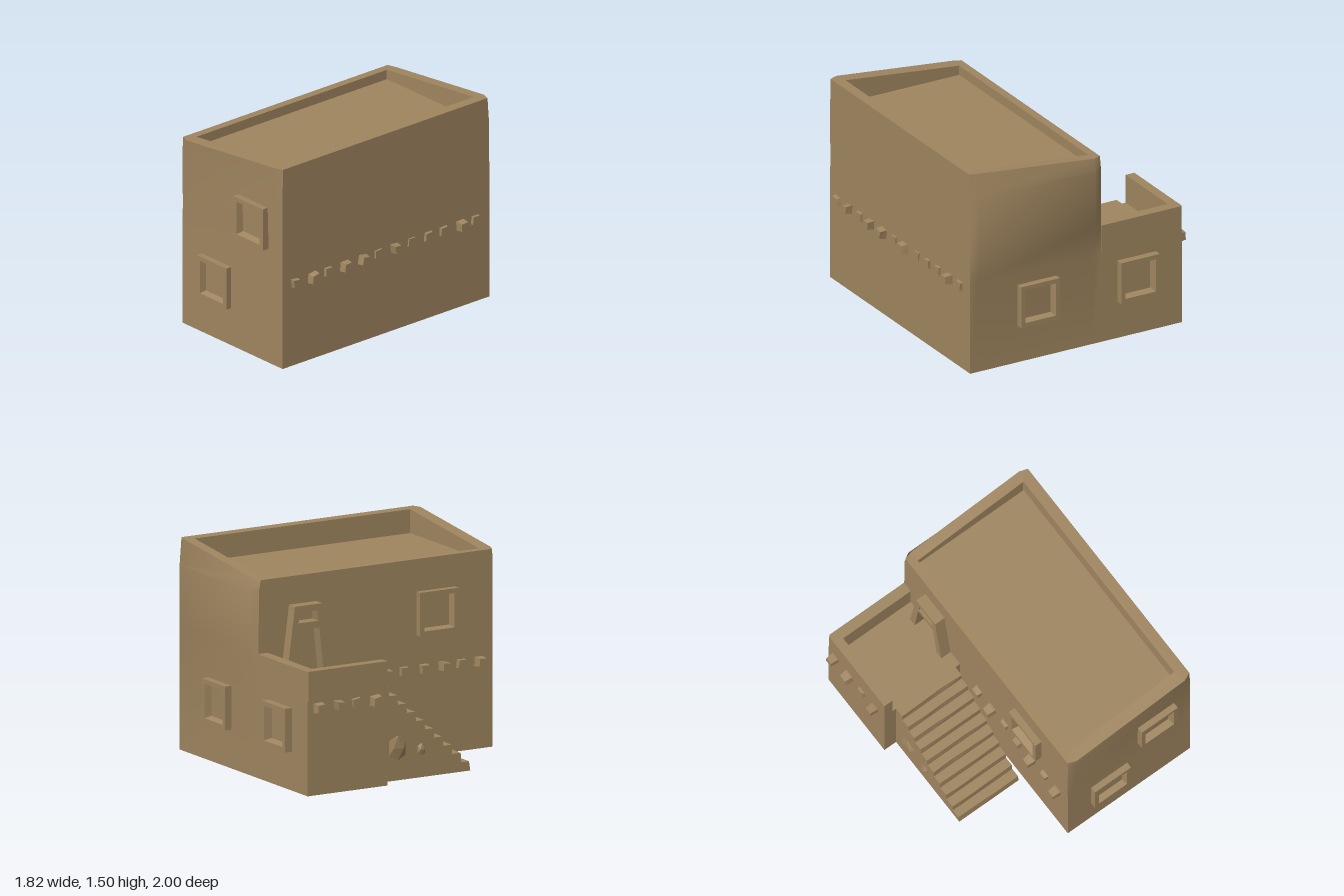
import * as THREE from 'three';
import { toCreasedNormals } from 'three/addons/utils/BufferGeometryUtils.js';

const adobe = new THREE.MeshStandardMaterial({ color: 0xa08660 });
adobe.name = 'adobe';

let seed = 7;
const rnd = () => (seed = (seed * 16807) % 2147483647) / 2147483647 - 0.5;

function add(parent, name, geometry, x = 0, y = 0, z = 0) {
  const mesh = new THREE.Mesh(geometry, adobe);
  mesh.name = name;
  mesh.position.set(x, y, z);
  parent.add(mesh);
  return mesh;
}

function faceted(geometry) {
  const g = geometry.index ? geometry.toNonIndexed() : geometry;
  g.computeVertexNormals();
  return g;
}

function extrude(points, depth, holes = []) {
  const shape = new THREE.Shape(points.map(p => new THREE.Vector2(...p)));
  for (const h of holes) shape.holes.push(new THREE.Path(h.map(p => new THREE.Vector2(...p))));
  return new THREE.ExtrudeGeometry(shape, { depth, bevelEnabled: false });
}

// Sloping parapet height across the tall block
const roofY = x => 1.4 + 0.1 * THREE.MathUtils.clamp((x + 0.14) / 0.92, 0, 1);

// Rectangle with cut corners, listed front left to right, then round the back
function ring(x0, x1, zf, zb, cx, cf, cb, height) {
  return [
    [x0 + cx, zf], [x1 - cx, zf], [x1, zf - cf], [x1, zb + cb],
    [x1 - cx, zb], [x0 + cx, zb], [x0, zb + cb], [x0, zf - cf],
  ].map(([x, z]) => [x, height(x), z]);
}

// Tall block: stacked rings, over the rim and down to the sunken roof
function towerGeometry() {
  const flat = y => () => y;
  const rings = [
    ring(-0.2, 0.85, 0.945, -0.945, 0.06, 0, 0, flat(0)),
    ring(-0.2, 0.85, 0.945, -0.945, 0.06, 0, 0, flat(0.67)),
    ring(-0.2, 0.85, 0.948, -0.978, 0.06, 0.004, 0.033, flat(0.9)),
    ring(-0.2, 0.85, 0.96, -0.978, 0.06, 0.015, 0.036, flat(1.32)),
    ring(-0.2, 0.85, 0.965, -0.948, 0.06, 0.025, 0.02, roofY),
    ring(-0.14, 0.77, 0.87, -0.87, 0.003, 0.003, 0.003, roofY),
    ring(-0.14, 0.77, 0.87, -0.87, 0.003, 0.003, 0.003, flat(1.33)),
  ];
  const n = 8, last = (rings.length - 1) * n;
  const verts = [...rings.flat(), [0.32, 0, 0], [0.32, 1.33, 0]];
  const index = [];
  for (let i = 0; i < n; i++) {
    const j = (i + 1) % n;
    for (let r = 0; r < last; r += n) index.push(r + i, r + j, r + n + j, r + i, r + n + j, r + n + i);
    index.push(j, i, last + n, last + i, last + j, last + n + 1);
  }
  const g = new THREE.BufferGeometry();
  g.setAttribute('position', new THREE.Float32BufferAttribute(verts.flat(), 3));
  g.setIndex(index);
  return toCreasedNormals(g, 0.6);
}

// Square window surround with a splayed opening, facing +z
function windowFrame(depth) {
  const k = Math.SQRT2;
  const profile = [[0.155, 0], [0.155, depth], [0.122, depth], [0.108, 0]]
    .map(([r, y]) => new THREE.Vector2(r * k, y));
  return faceted(new THREE.LatheGeometry(profile, 4, Math.PI / 4).rotateX(Math.PI / 2));
}

// Rough-hewn beam end pointing along +x
function beamEnd(length) {
  const g = new THREE.BoxGeometry(length + 0.04, 0.06, 0.06, 2, 1, 1);
  const p = g.attributes.position;
  const sy = rnd() * 0.012, sz = rnd() * 0.012;
  for (let i = 0; i < p.count; i++) {
    const f = p.getX(i) > 0.001 ? 0.92 : 1.08;
    p.setY(i, p.getY(i) * f + Math.sign(p.getZ(i)) * sy);
    p.setZ(i, p.getZ(i) * f + Math.sign(p.getY(i)) * sz);
  }
  g.translate((length - 0.04) / 2, 0, 0);
  return faceted(g);
}

export function createModel() {
  const model = new THREE.Group();
  model.name = 'adobeHouse';

  add(model, 'tallBlock', towerGeometry());

  // Low wing with a terrace walled on two sides
  add(model, 'lowWing', new THREE.BoxGeometry(0.65, 0.67, 0.645), -0.525, 0.335, -0.6225);
  const parapet = extrude([[-0.85, 0.3], [-0.78, 0.3], [-0.78, 0.87], [-0.2, 0.87], [-0.2, 0.948], [-0.84, 0.948], [-0.85, 0.938]], 0.21);
  add(model, 'terraceParapet', parapet.rotateX(-Math.PI / 2), 0, 0.67, 0);

  // Worn stairs up to the terrace
  const stairs = new THREE.Group();
  stairs.name = 'stairs';
  model.add(stairs);
  for (let i = 0; i < 10; i++) {
    const front = 0.43 - i * 0.073, h = 0.067;
    const g = new THREE.BoxGeometry(0.51, h, front + 0.3, 3, 1, 1);
    const p = g.attributes.position;
    const wear = [rnd(), rnd(), rnd(), rnd()].map(v => Math.abs(v) * 0.022);
    for (let v = 0; v < p.count; v++) {
      if (p.getZ(v) > 0 && p.getY(v) > 0) {
        const col = Math.round((p.getX(v) + 0.255) / 0.17);
        p.setZ(v, p.getZ(v) - wear[col]);
      }
    }
    add(stairs, 'step', faceted(g), -0.495, (i + 0.5) * h, (front - 0.3) / 2);
  }
  for (const [y, z, sy, sz] of [[0.23, -0.16, 0.1, 0.08], [0.2, 0.035, 0.05, 0.035]]) {
    add(stairs, 'stairSideBump', faceted(new THREE.IcosahedronGeometry(1, 0)), -0.75, y, z).scale.set(0.024, sy, sz);
  }

  // Tapered doorway surround on the terrace, with a lintel bar
  const door = extrude(
    [[-0.18, 0], [-0.125, 0], [-0.088, 0.36], [0.088, 0.36], [0.125, 0], [0.18, 0], [0.11, 0.53], [-0.11, 0.53]],
    0.08, [[[-0.08, 0.41], [0.08, 0.41], [0.07, 0.485], [-0.07, 0.485]]]);
  add(model, 'doorSurround', door.rotateY(-Math.PI / 2), -0.2, 0.67, -0.59);

  // Window surrounds: x, y, z, depth, turn
  const windows = [
    [0.55, 1.015, 0.94, 0.06, 0], [0.155, 0.435, 0.94, 0.05, 0],
    [-0.485, 0.43, -0.94, 0.06, Math.PI], [0.315, 0.43, -0.94, 0.055, Math.PI],
    [-0.195, 1.015, 0.485, 0.055, -Math.PI / 2],
  ];
  for (const [x, y, z, depth, turn] of windows) {
    add(model, 'windowSurround', windowFrame(depth), x, y, z).rotation.y = turn;
  }

  // Rows of beam ends: wall x, then [z, length] pairs
  const rows = [
    [0.85, 1, [[0.835, 0.03], [0.68, 0.05], [0.535, 0.02], [0.385, 0.05], [0.22, 0.05], [0.075, 0.012],
      [-0.075, 0.05], [-0.23, 0.01], [-0.38, 0.02], [-0.52, 0.02], [-0.675, 0.057], [-0.81, 0.02]]],
    [-0.2, -1, [[-0.08, 0.04], [0.08, 0.065], [0.225, 0.025], [0.385, 0.04], [0.54, 0.065], [0.685, 0.03], [0.83, 0.065]]],
    [-0.85, -1, [[-0.865, 0.06], [-0.7, 0.06], [-0.555, 0.02], [-0.41, 0.06]]],
  ];
  for (const [x, side, beams] of rows) {
    for (const [z, length] of beams) {
      add(model, 'beamEnd', beamEnd(length), x, 0.62, z).rotation.y = side > 0 ? 0 : Math.PI;
    }
  }
  return model;
}
